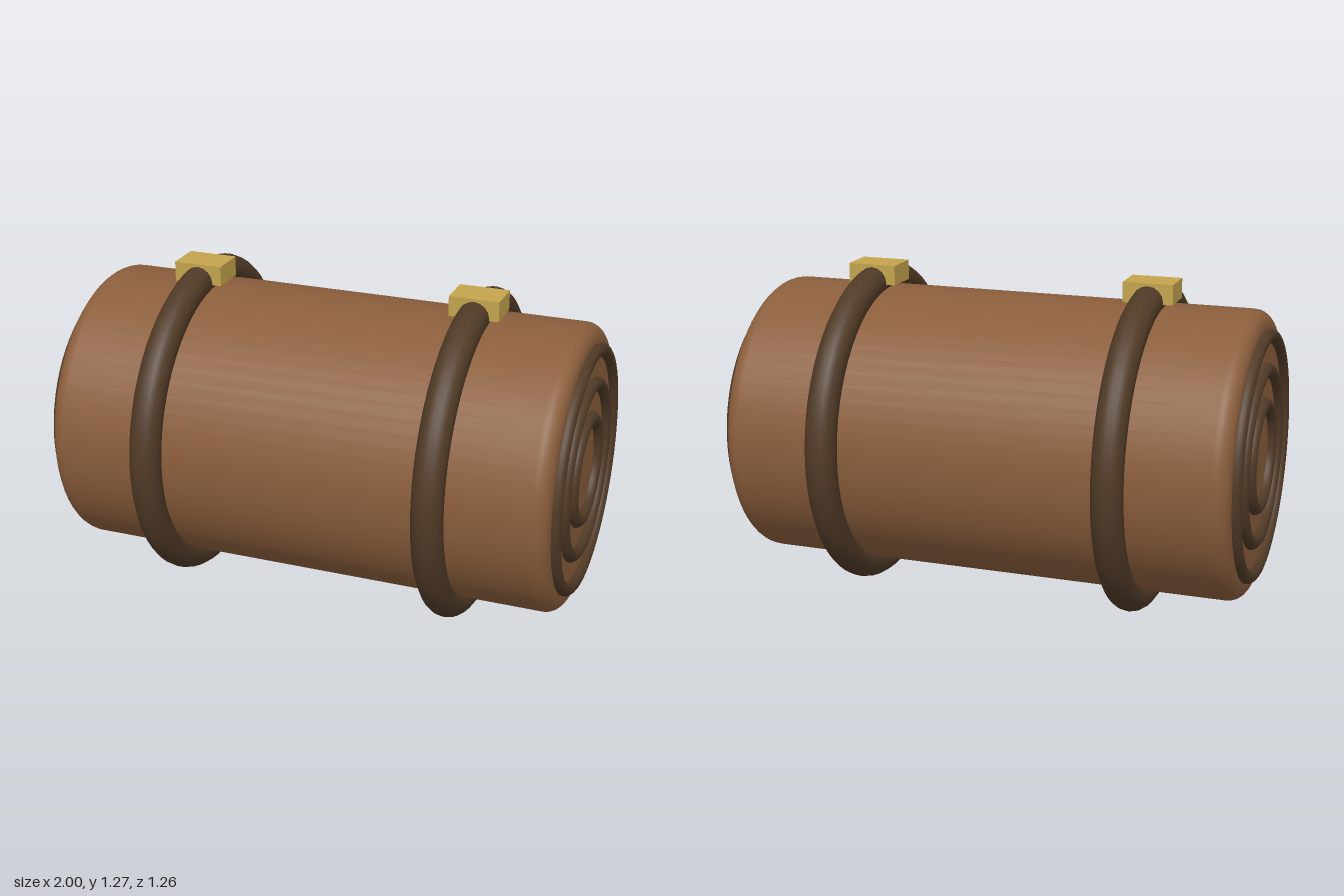
import * as THREE from 'three';

export function createModel() {
  const group = new THREE.Group();
  const material = (name, color) => {
    const m = new THREE.MeshStandardMaterial({ color });
    m.name = name;
    return m;
  };
  const cloth = material('brown cloth', 0x8b5e3c);
  const leather = material('dark leather', 0x503a26);
  const brass = material('brass', 0xc4a44e);

  const centreY = 0.633;
  const add = (name, geometry, mat, x, y = centreY) => {
    const mesh = new THREE.Mesh(geometry, mat);
    mesh.name = name;
    mesh.position.set(x, y, 0);
    group.add(mesh);
    return mesh;
  };

  // Rolled bundle: a cylinder along x with rounded rims
  const radius = 0.545, half = 0.97, bevel = 0.06, steps = 6;
  const profile = [new THREE.Vector2(0, -half), new THREE.Vector2(radius - bevel - 0.01, -half)];
  for (const end of [-1, 1]) {
    for (let i = 0; i <= steps; i++) {
      const a = (end * (end < 0 ? 1 - i / steps : i / steps) * Math.PI) / 2;
      profile.push(new THREE.Vector2(
        radius - bevel + bevel * Math.cos(a),
        end * (half - bevel) + bevel * Math.sin(a)
      ));
    }
  }
  profile.push(new THREE.Vector2(radius - bevel - 0.01, half), new THREE.Vector2(0, half));
  const roll = new THREE.LatheGeometry(profile, 64);
  roll.rotateZ(Math.PI / 2);
  add('roll', roll, cloth, 0);

  // Torus whose axis runs along x
  const hoop = (major, tube) =>
    new THREE.TorusGeometry(major, tube, 16, 64).rotateY(Math.PI / 2);

  for (const side of [-1, 1]) {
    const label = side > 0 ? 'left' : 'right';

    // Strap and its buckle on top
    add(label + 'Strap', hoop(0.573, 0.059), leather, side * 0.548);
    add(label + 'Buckle', new THREE.BoxGeometry(0.19, 0.076, 0.14), brass, side * 0.548, 1.233);

    // Concentric folds on the end face
    [0.45, 0.323, 0.193].forEach((r, i) =>
      add(label + 'EndRing' + (i + 1), hoop(r, 0.026), leather, side * 0.974));
  }
  return group;
}
